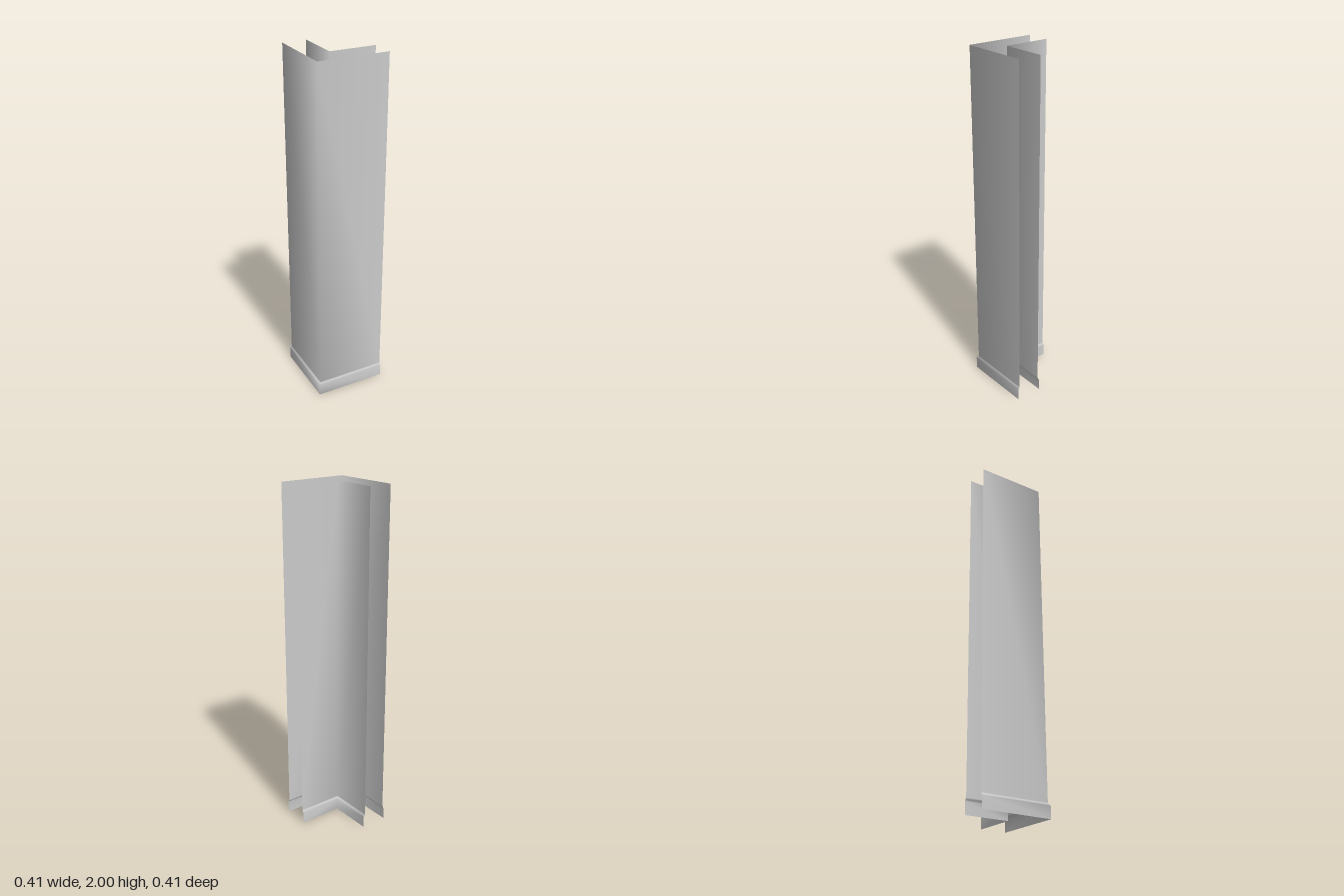
import * as THREE from 'three';

const END = 0.206; // where both walls are cut off

// Wall section from floor to top: [outward offset, height]
const PROFILE = [[0.01, 0], [0.01, 0.068], [0.005, 0.075], [0.004, 0.081], [0, 0.084], [0, 2]];

// Sweeps the section along an L with a mitred corner at (-corner, corner).
// side = 1 faces away from the room, side = -1 faces into it.
function cornerWall(name, corner, side, material) {
  const positions = [], index = [];
  for (const [offset, y] of PROFILE) {
    const c = corner + side * offset;
    positions.push(-c, y, -END, -c, y, c, END, y, c);
  }
  for (let row = 0; row < PROFILE.length - 1; row++) {
    for (let col = 0; col < 2; col++) {
      const a = row * 3 + col, b = a + 1, d = a + 3, e = a + 4;
      if (side > 0) index.push(a, b, d, b, e, d);
      else index.push(a, d, b, b, d, e);
    }
  }
  const geometry = new THREE.BufferGeometry();
  geometry.setAttribute('position', new THREE.Float32BufferAttribute(positions, 3));
  geometry.setIndex(index);
  geometry.computeVertexNormals();
  const mesh = new THREE.Mesh(geometry, material);
  mesh.name = name;
  return mesh;
}

export function createModel() {
  const group = new THREE.Group();
  group.name = 'wallCorner';
  const material = new THREE.MeshStandardMaterial({ color: 0xcccccc, side: THREE.DoubleSide });
  // Two parallel wall skins, each ending in a projecting skirting board
  group.add(cornerWall('outerWall', 0.196, 1, material));
  group.add(cornerWall('innerWall', 0.06, -1, material));
  return group;
}
